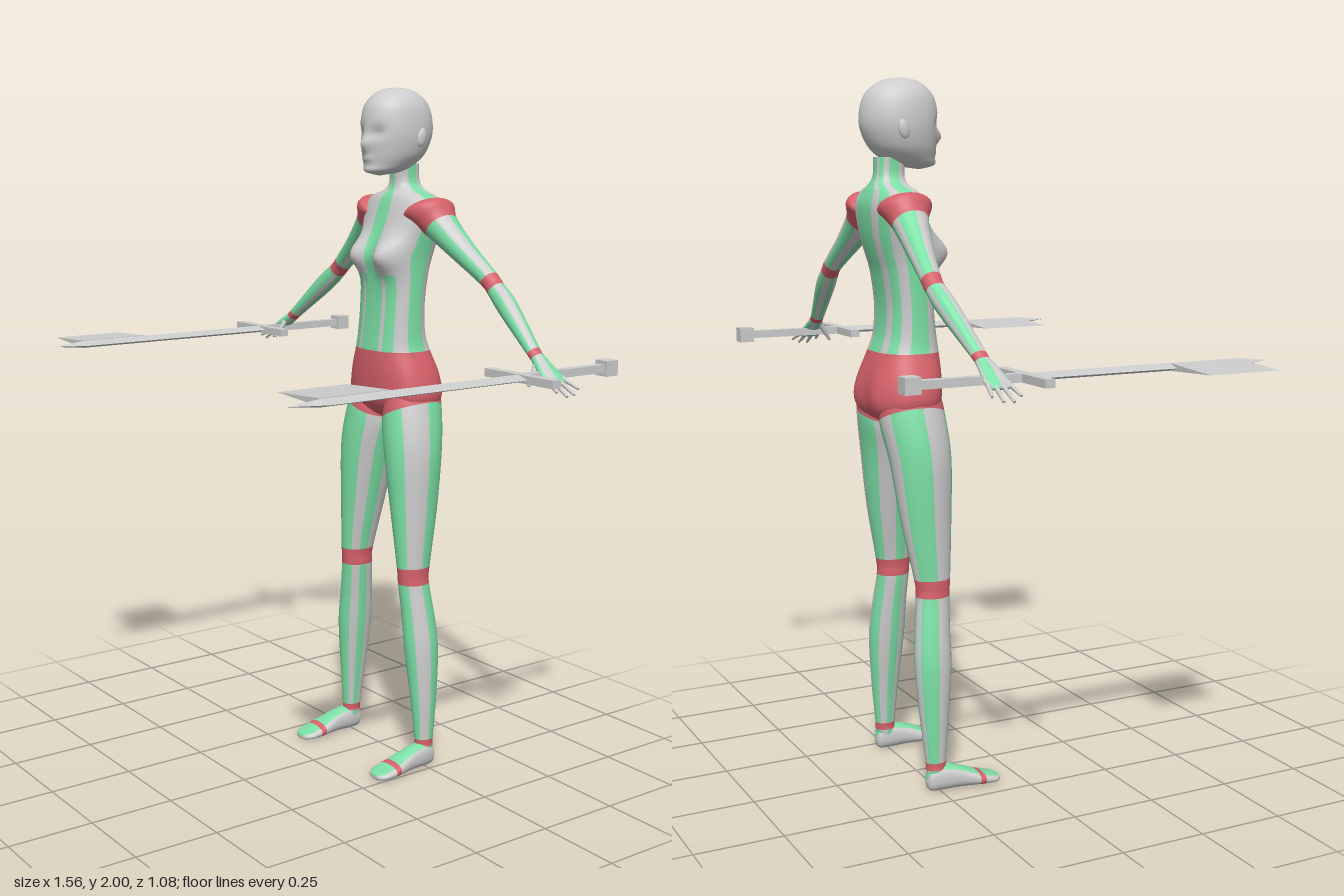
import * as THREE from 'three';

const SEG = 48;
const GREY = 0, GREEN = 1, RED = 2;

// Catmull-Rom blend of the numeric entries of four rows
function blend(p0, p1, p2, p3, t) {
  return p1.slice(0, 6).map((b, k) => {
    const a = p0[k], c = p2[k], d = p3[k];
    return b + 0.5 * t * (c - a + t * (2 * a - 5 * b + 4 * c - d + t * (3 * (b - c) + d - a)));
  });
}

// Smooth tube through rows [x, y, z, halfWidth, halfDepth, tilt, mark].
// A row's mark names the colouring of the span that follows it.
function loft(rows, { pick, axis = 'z', side = 1, power = 1, steps = 4, warp }) {
  const rings = [], marks = [];
  for (let i = 0; i < rows.length - 1; i++) {
    for (let s = 0; s < steps; s++) {
      rings.push(blend(rows[Math.max(i - 1, 0)], rows[i], rows[i + 1], rows[Math.min(i + 2, rows.length - 1)], s / steps));
      marks.push(rows[i][6]);
    }
  }
  rings.push(rows[rows.length - 1].slice(0, 6));
  const pos = [], lists = [[], [], []];
  const pw = (v) => Math.sign(v) * Math.abs(v) ** power;
  for (const [x, y, z, a, b, tilt] of rings) {
    for (let j = 0; j < SEG; j++) {
      const th = (j / SEG) * Math.PI * 2;
      const u = a * pw(Math.sin(th)), v = b * pw(Math.cos(th));
      const p = new THREE.Vector3(x + u * Math.cos(tilt), y + u * Math.sin(tilt), z);
      p[axis] += v;
      if (warp) warp(p, Math.cos(th));
      pos.push(p.x * side, p.y, p.z);
    }
  }
  for (let i = 0; i < rings.length - 1; i++) {
    for (let j = 0; j < SEG; j++) {
      const k = (j + 1) % SEG;
      const A = i * SEG + j, B = A + SEG, C = i * SEG + k, D = C + SEG;
      const list = lists[pick(((j + 0.5) * 360) / SEG, marks[i])];
      if (side > 0) list.push(A, B, C, C, B, D);
      else list.push(A, C, B, C, D, B);
    }
  }
  const g = new THREE.BufferGeometry();
  g.setAttribute('position', new THREE.Float32BufferAttribute(pos, 3));
  g.setIndex(lists.flat());
  let start = 0;
  lists.forEach((l, m) => {
    if (l.length) g.addGroup(start, l.length, m);
    start += l.length;
  });
  g.computeVertexNormals();
  return g;
}

// Stripes running along the limbs, measured from the front towards the outside
function limbStripes(deg, mark) {
  if (mark === 'red') return RED;
  const greens = [[0, 38], [90, 150], [180, 225], [262, 292], [322, 360]];
  return greens.some(([a, b]) => deg > a && deg < b) ? GREEN : GREY;
}

// Symmetric torso stripes, with plain grey over the chest
function torsoStripes(deg, mark) {
  if (mark === 'red') return RED;
  const d = deg > 180 ? 360 - deg : deg;
  const greens = [[75, 105], [128, 150], [165, 180]];
  greens.push(...(mark === 'lower' ? [[0, 15], [23, 45]] : [[0, 8]]));
  return greens.some(([a, b]) => d > a && d < b) ? GREEN : GREY;
}

const footStripes = (deg, mark) =>
  mark === 'red' ? RED : deg < 45 || deg > 315 ? GREEN : GREY;

const bump = (dx, dy, sx, sy) => Math.exp(-((dx / sx) ** 2) - (dy / sy) ** 2);

// Rows given as y, half width, front z, back z
const upright = (rows) =>
  rows.map(([y, a, f, b, m]) => [0, y, (f + b) / 2, a, (f - b) / 2, 0, m]);

function faceted(g) {
  const f = g.index ? g.toNonIndexed() : g;
  f.computeVertexNormals();
  return f;
}

export function createModel() {
  const mat = (name, color) => {
    const m = new THREE.MeshStandardMaterial({ color });
    m.name = name;
    return m;
  };
  const grey = mat('grey', 0xcccccc), green = mat('green', 0x7cdfa6), red = mat('red', 0xd6616a);
  const skin = [grey, green, red];
  const model = new THREE.Group();
  model.name = 'figure';
  const body = new THREE.Group();
  body.name = 'body';
  body.position.x = 0.03;
  model.add(body);
  const add = (name, geo, material = skin, parent = body) => {
    const m = new THREE.Mesh(geo, material);
    m.name = name;
    parent.add(m);
    return m;
  };

  // Head with eye sockets, nose and lips
  add('head', loft(upright([
    [2.0, 0.002, -0.268, -0.272], [1.99, 0.045, -0.215, -0.325], [1.95, 0.08, -0.172, -0.372],
    [1.88, 0.091, -0.16, -0.386], [1.82, 0.082, -0.165, -0.365], [1.785, 0.064, -0.167, -0.33],
    [1.763, 0.042, -0.168, -0.285], [1.752, 0.002, -0.21, -0.215],
  ]), {
    pick: () => GREY, steps: 6,
    warp: (p, c) => {
      if (c < 0.2) return;
      const x = Math.abs(p.x);
      p.z += 0.02 * bump(x, p.y - 1.84, 0.013, 0.022) - 0.014 * bump(x - 0.036, p.y - 1.872, 0.02, 0.016);
      p.z += 0.005 * bump(x, p.y - 1.8, 0.02, 0.008);
    },
  }));

  // Neck, chest, waist and briefs
  add('torso', loft(upright([
    [1.785, 0.038, -0.258, -0.345, 'upper'], [1.735, 0.039, -0.262, -0.347, 'upper'],
    [1.71, 0.062, -0.255, -0.358, 'upper'], [1.69, 0.12, -0.24, -0.368, 'upper'],
    [1.65, 0.142, -0.225, -0.38, 'upper'], [1.58, 0.128, -0.205, -0.375, 'upper'],
    [1.52, 0.117, -0.196, -0.36, 'upper'], [1.47, 0.114, -0.196, -0.345, 'lower'],
    [1.38, 0.112, -0.193, -0.333, 'lower'], [1.3, 0.113, -0.185, -0.338, 'lower'],
    [1.248, 0.12, -0.178, -0.355, 'red'], [1.18, 0.145, -0.175, -0.376, 'red'],
    [1.11, 0.155, -0.18, -0.38, 'red'], [1.07, 0.115, -0.2, -0.365, 'red'],
    [1.035, 0.015, -0.25, -0.31, 'red'],
  ]), {
    pick: torsoStripes, power: 0.8,
    warp: (p, c) => {
      const x = Math.abs(p.x);
      if (c > 0.05) p.z += 0.05 * bump(x - 0.06, p.y - 1.525, 0.042, 0.05);
      if (c < -0.05) p.z -= 0.014 * bump(x - 0.07, p.y - 1.12, 0.045, 0.06);
    },
  }));

  for (const side of [1, -1]) {
    const label = side > 0 ? 'left' : 'right';

    // Ear
    const ear = add(label + 'Ear', new THREE.SphereGeometry(1, 16, 12), grey);
    ear.scale.set(0.009, 0.027, 0.016);
    ear.position.set(side * 0.088, 1.86, -0.295);
    ear.rotation.x = -0.2;

    // Arm from shoulder cap to palm
    const T = 0.84;
    add(label + 'Arm', loft([
      [0.075, 1.65, -0.305, 0.03, 0.05, T, 'red'], [0.095, 1.652, -0.305, 0.05, 0.074, T, 'red'],
      [0.13, 1.645, -0.307, 0.056, 0.072, T, 'red'], [0.163, 1.61, -0.312, 0.047, 0.052, T, 'stripe'],
      [0.25, 1.54, -0.325, 0.035, 0.037, T, 'stripe'], [0.342, 1.473, -0.337, 0.027, 0.028, T, 'red'],
      [0.372, 1.447, -0.337, 0.026, 0.027, T, 'stripe'], [0.43, 1.402, -0.33, 0.029, 0.029, T, 'stripe'],
      [0.56, 1.297, -0.308, 0.017, 0.021, T, 'red'], [0.577, 1.284, -0.306, 0.016, 0.021, T, 'stripe'],
      [0.61, 1.262, -0.302, 0.014, 0.029, T, 'stripe'], [0.645, 1.238, -0.3, 0.011, 0.036, T, 'stripe'],
      [0.662, 1.226, -0.3, 0.006, 0.032, T, 'stripe'], [0.664, 1.225, -0.3, 0.001, 0.002, T, 'stripe'],
    ], { pick: limbStripes, side }));

    // Fingers and thumb
    const digit = (name, from, to, r) => {
      const a = new THREE.Vector3(...from), b = new THREE.Vector3(...to);
      a.x *= side;
      b.x *= side;
      const dir = b.clone().sub(a);
      const m = add(name, new THREE.CylinderGeometry(r * 0.5, r, dir.length(), 10), grey);
      m.position.copy(a).add(b).multiplyScalar(0.5);
      m.quaternion.setFromUnitVectors(new THREE.Vector3(0, 1, 0), dir.normalize());
    };
    [[-0.328, -0.342, 0.698], [-0.31, -0.316, 0.71], [-0.291, -0.288, 0.712], [-0.273, -0.262, 0.7]].forEach(
      ([z0, z1, x], i) => digit(label + 'Finger' + (i + 1), [0.645, 1.238, z0], [x, 1.2 + (0.71 - x), z1], 0.0075));
    digit(label + 'Thumb', [0.595, 1.265, -0.285], [0.602, 1.215, -0.252], 0.009);

    // Leg, with the brief's slanted hem at the top
    add(label + 'Leg', loft([
      [0.078, 1.14, -0.28, 0.06, 0.085, 0.42, 'red'], [0.082, 1.07, -0.277, 0.08, 0.095, 0.42, 'stripe'],
      [0.106, 0.95, -0.263, 0.079, 0.089, 0.08, 'stripe'], [0.123, 0.78, -0.255, 0.06, 0.074, 0, 'stripe'],
      [0.138, 0.612, -0.244, 0.041, 0.053, 0, 'red'], [0.14, 0.562, -0.244, 0.041, 0.049, 0, 'stripe'],
      [0.154, 0.46, -0.252, 0.044, 0.052, 0, 'stripe'], [0.166, 0.36, -0.256, 0.045, 0.054, 0, 'stripe'],
      [0.177, 0.2, -0.258, 0.033, 0.041, 0, 'stripe'], [0.182, 0.085, -0.257, 0.024, 0.03, 0, 'red'],
      [0.183, 0.064, -0.256, 0.025, 0.03, 0, 'stripe'], [0.185, 0.03, -0.25, 0.025, 0.03, 0, 'stripe'],
    ], { pick: limbStripes, side }));

    // Foot from heel to toes
    add(label + 'Foot', loft([
      [0.185, 0.03, -0.288, 0.002, 0.002, 0, 'stripe'], [0.185, 0.032, -0.28, 0.02, 0.028, 0, 'stripe'],
      [0.186, 0.037, -0.25, 0.028, 0.037, 0, 'stripe'], [0.188, 0.033, -0.195, 0.032, 0.032, 0, 'stripe'],
      [0.19, 0.021, -0.135, 0.042, 0.02, 0, 'red'], [0.19, 0.018, -0.118, 0.043, 0.017, 0, 'stripe'],
      [0.19, 0.013, -0.085, 0.04, 0.012, 0, 'stripe'], [0.19, 0.01, -0.066, 0.024, 0.009, 0, 'stripe'],
      [0.19, 0.009, -0.062, 0.001, 0.001, 0, 'stripe'],
    ], { pick: footStripes, axis: 'y', side, power: 0.85 }));

    // Key-shaped sword, the same way round in both hands
    const sword = new THREE.Group();
    sword.name = label + 'Sword';
    sword.position.set(0.03 + side * 0.62, 1.243, 0);
    model.add(sword);
    const part = (name, geo, x, z) => add(name, geo, grey, sword).position.set(x, 0, z);
    const diamond = (g) => faceted(g.rotateX(Math.PI / 2).scale(1, 0.27, 1));
    part('blade', diamond(new THREE.CylinderGeometry(0.039, 0.039, 0.65, 4)), 0, 0.11);
    part('bladeTip', diamond(new THREE.ConeGeometry(0.039, 0.1, 4)), 0, 0.485);
    const wedge = new THREE.Shape([[-0.188, 0], [-0.01, -0.01], [-0.01, 0.01]].map((p) => new THREE.Vector2(...p)));
    part('bladeTooth', new THREE.ExtrudeGeometry(wedge, { depth: 0.215, bevelEnabled: false }), 0, 0.22);
    part('guard', new THREE.BoxGeometry(0.262, 0.022, 0.028), 0, -0.211);
    part('grip', new THREE.BoxGeometry(0.026, 0.022, 0.29), 0, -0.365);
    part('pommel', new THREE.BoxGeometry(0.043, 0.043, 0.043), 0, -0.525);
  }
  return model;
}
